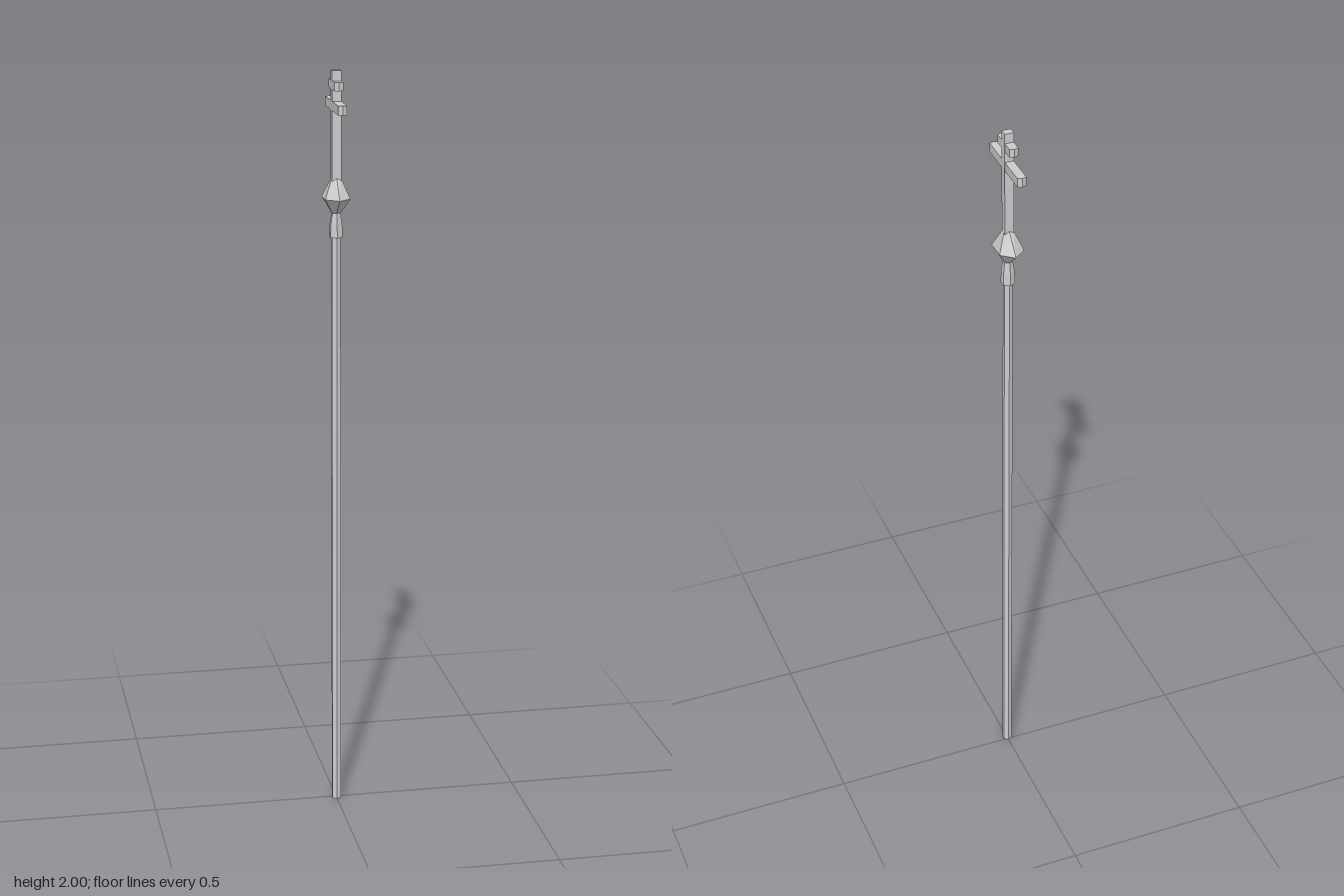
import * as THREE from 'three';

const material = new THREE.MeshStandardMaterial({ color: 0xcccccc, flatShading: true });

// Six-sided loft through rings [y, x radius, z radius, z centre], listed bottom to top
function hexLoft(name, rings) {
  const n = rings.length - 1;
  const geo = new THREE.CylinderGeometry(1, 1, 1, 6, n);
  const p = geo.attributes.position;
  for (let i = 0; i < p.count; i++) {
    const [y, rx, rz, zc = 0] = rings[Math.round((p.getY(i) + 0.5) * n)];
    p.setXYZ(i, p.getX(i) * rx, y, p.getZ(i) * rz + zc);
  }
  geo.computeVertexNormals();
  const mesh = new THREE.Mesh(geo, material);
  mesh.name = name;
  return mesh;
}

// Bar across z with slightly pointed ends
function crossArm(name, halfLength, bottom, top) {
  const w = 0.0115, point = 0.005, s = halfLength - point;
  const shape = new THREE.Shape([
    [w, -s], [w, s], [0, halfLength], [-w, s], [-w, -s], [0, -halfLength],
  ].map(([x, y]) => new THREE.Vector2(x, y)));
  const geo = new THREE.ExtrudeGeometry(shape, { depth: top - bottom, bevelEnabled: false });
  geo.rotateX(-Math.PI / 2).translate(0, bottom, 0);
  const mesh = new THREE.Mesh(geo, material);
  mesh.name = name;
  return mesh;
}

export function createModel() {
  const group = new THREE.Group();
  group.name = 'processionalStaff';

  // Slightly bowed wooden pole
  group.add(hexLoft('pole', [
    [0, 0.0135, 0.0115, 0.007],
    [0.82, 0.0135, 0.0115, 0.004],
    [1.15, 0.0135, 0.0115, 0.002],
    [1.58, 0.0125, 0.0115, 0],
  ]));

  // Socket that narrows towards the knob
  group.add(hexLoft('socket', [
    [1.57, 0.0185, 0.0195],
    [1.605, 0.017, 0.017],
    [1.64, 0.011, 0.012],
  ]));

  // Faceted knob, wider in z than in x
  group.add(hexLoft('knob', [
    [1.633, 0.012, 0.012],
    [1.673, 0.038, 0.055],
    [1.725, 0.0135, 0.0095],
  ]));

  // Upright and the two arms of the cross
  const upright = new THREE.Mesh(new THREE.BoxGeometry(0.024, 0.3, 0.02), material);
  upright.name = 'upright';
  upright.position.y = 1.85;
  group.add(upright);
  group.add(crossArm('longArm', 0.096, 1.898, 1.922));
  group.add(crossArm('shortArm', 0.044, 1.952, 1.974));
  return group;
}
